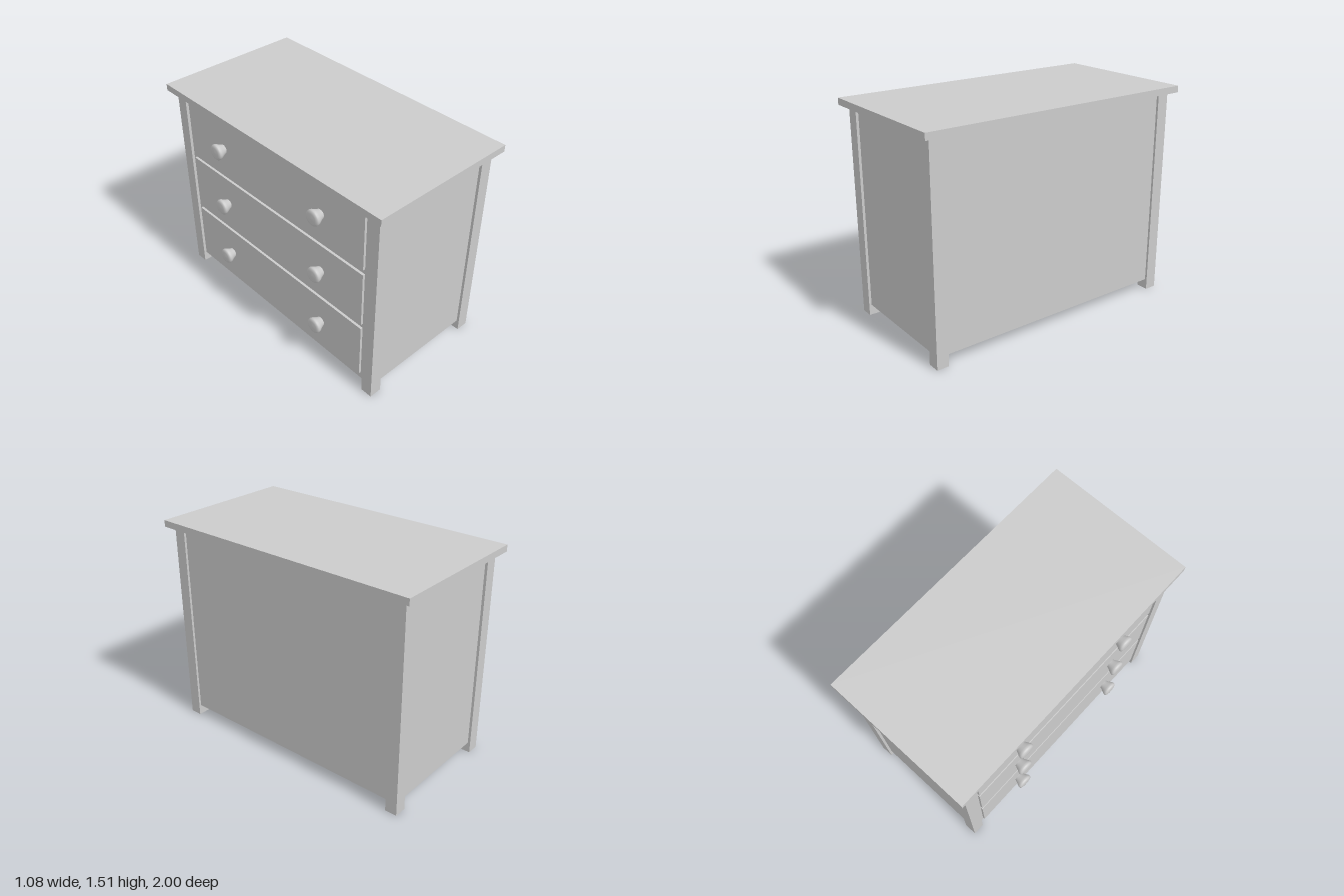
import * as THREE from 'three';

export function createModel() {
  const chest = new THREE.Group();
  chest.name = 'chestOfDrawers';
  const material = new THREE.MeshStandardMaterial({ color: 0xcccccc });

  // Box given by its minimum and maximum corners
  function box(name, [x0, y0, z0], [x1, y1, z1]) {
    const mesh = new THREE.Mesh(new THREE.BoxGeometry(x1 - x0, y1 - y0, z1 - z0), material);
    mesh.position.set((x0 + x1) / 2, (y0 + y1) / 2, (z0 + z1) / 2);
    mesh.name = name;
    chest.add(mesh);
  }

  // Overhanging top and the carcass set back slightly between the legs
  box('top', [-0.52, 1.467, -1], [0.54, 1.513, 1]);
  box('carcass', [-0.452, 0.073, -0.932], [0.477, 1.462, 0.932]);

  // Four square corner legs
  for (const x of [-0.472, 0.405]) {
    for (const z of [-0.95, 0.865]) {
      box('leg', [x, 0, z], [x + 0.088, 1.467, z + 0.085]);
    }
  }

  // Turned knob: narrow neck flaring to a rounded head
  const profile = [
    [0.033, 0], [0.035, 0.008], [0.043, 0.026], [0.052, 0.043], [0.056, 0.054],
    [0.055, 0.063], [0.049, 0.07], [0.035, 0.074], [0, 0.076],
  ].map(([r, h]) => new THREE.Vector2(r, h));
  const knobGeometry = new THREE.LatheGeometry(profile, 20).rotateZ(Math.PI / 2);

  // Three drawer fronts on the -x side, each with two knobs
  for (const y of [0.33, 0.775, 1.225]) {
    box('drawerFront', [-0.469, y - 0.205, -0.835], [-0.44, y + 0.205, 0.835]);
    for (const z of [-0.47, 0.47]) {
      const knob = new THREE.Mesh(knobGeometry, material);
      knob.position.set(-0.468, y, z);
      knob.name = 'knob';
      chest.add(knob);
    }
  }
  return chest;
}
